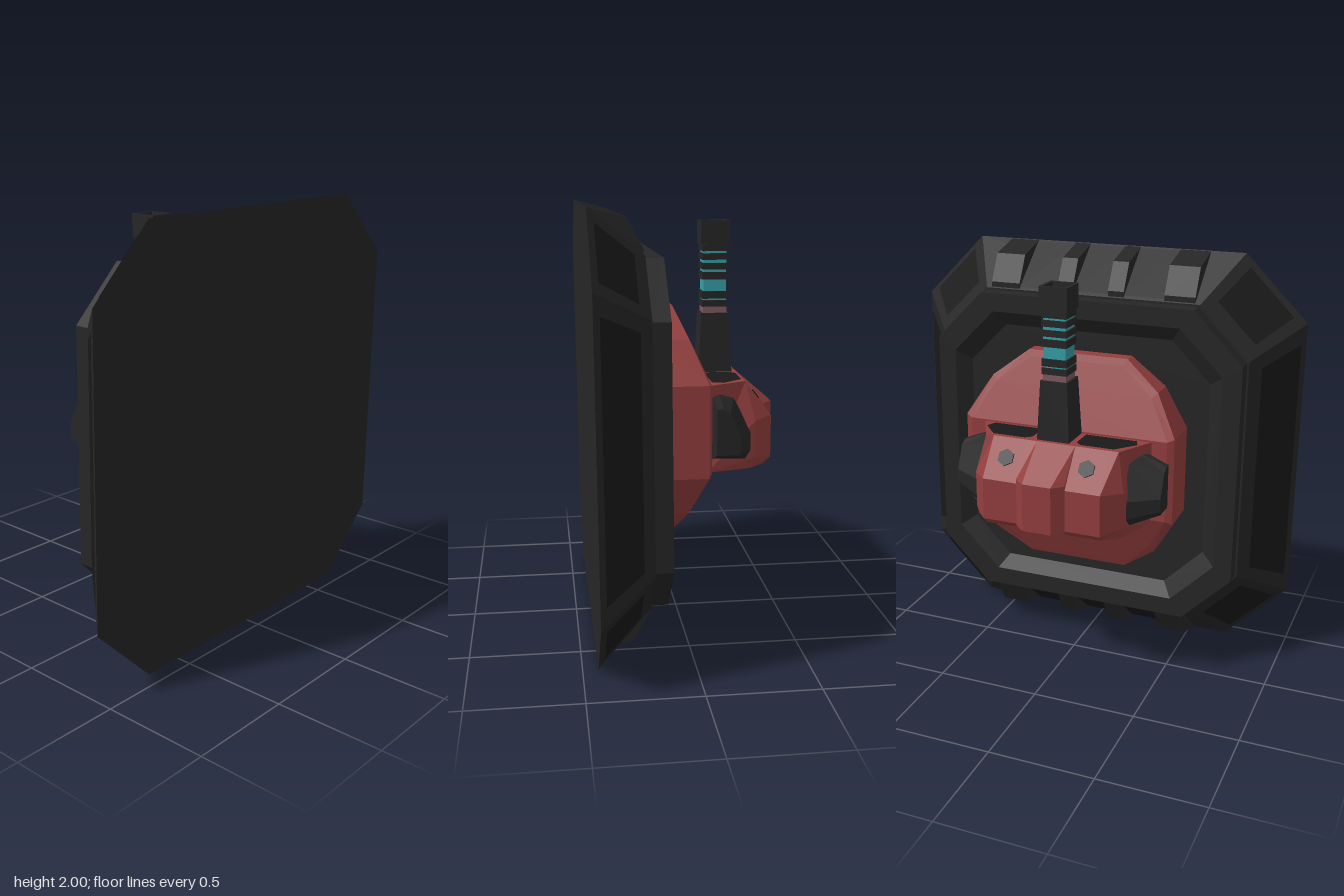
import * as THREE from 'three';

const mat = (name, color, side = THREE.FrontSide) => {
  const m = new THREE.MeshStandardMaterial({ color, side, flatShading: true });
  m.name = name;
  return m;
};
const V = (x, y, z) => new THREE.Vector3(x, y, z);

// Flat-shaded solid from triangles; turned outward by its signed volume.
function solid(tris) {
  let vol = 0;
  const cross = V(0, 0, 0);
  for (const [a, b, c] of tris) vol += a.dot(cross.crossVectors(b, c));
  const pts = tris.flatMap(([a, b, c]) => (vol < 0 ? [a, c, b] : [a, b, c]));
  const g = new THREE.BufferGeometry().setFromPoints(pts);
  g.computeVertexNormals();
  return g;
}

// Joins equal-length loops with quads and closes both ends with fans.
function loft(loops) {
  const tris = [], n = loops[0].length, last = loops[loops.length - 1];
  for (let k = 0; k < loops.length - 1; k++) {
    for (let i = 0; i < n; i++) {
      const j = (i + 1) % n, A = loops[k], B = loops[k + 1];
      tris.push([A[i], A[j], B[j]], [A[i], B[j], B[i]]);
    }
  }
  for (let i = 1; i < n - 1; i++) {
    tris.push([loops[0][0], loops[0][i + 1], loops[0][i]], [last[0], last[i], last[i + 1]]);
  }
  return solid(tris);
}

// Square with cut corners, h = half width, at depth z.
function octagon(h, z) {
  const c = h * 0.69;
  return [[c, h], [-c, h], [-h, c], [-h, -c], [-c, -h], [c, -h], [h, -c], [h, c]]
    .map(([x, y]) => V(x, y, z));
}

// Flat polygon lifted slightly along its outward normal.
function plate(pts, lift = 0.004) {
  const n = V(0, 0, 0).crossVectors(pts[1].clone().sub(pts[0]), pts[2].clone().sub(pts[0])).normalize();
  if (n.dot(pts[0].clone().add(pts[2])) < 0) n.negate();
  const p = pts.map((v) => v.clone().addScaledVector(n, lift));
  const tris = [];
  for (let i = 1; i < p.length - 1; i++) tris.push(...[p[0], p[i], p[i + 1]]);
  const g = new THREE.BufferGeometry().setFromPoints(tris);
  g.computeVertexNormals();
  return g;
}

export function createModel() {
  const black = mat('black armour', 0x262626);
  const dark = mat('dark recess', 0x191919, THREE.DoubleSide);
  const red = mat('red armour', 0x943e3e);
  const cyan = mat('cyan glow', 0x35a0a8);
  const pink = mat('dull pink trim', 0x7d5a60);

  const model = new THREE.Group();
  const add = (parent, name, geometry, material) => {
    const m = new THREE.Mesh(geometry, material);
    m.name = name;
    parent.add(m);
    return m;
  };
  const box = (parent, name, size, pos, material) =>
    add(parent, name, new THREE.BoxGeometry(...size), material).position.set(...pos);

  // Base: bevelled octagonal plate, raised ring and sunken floor
  const base = new THREE.Group();
  base.name = 'base';
  base.position.set(0, 1, -0.01);
  base.rotation.x = 0.01;
  model.add(base);
  const outer = octagon(1, 0.45), inner = octagon(0.79, 0.2);
  add(base, 'basePlate', loft([outer, inner, octagon(0.78, 0.2), octagon(0.78, 0.12),
    octagon(0.69, 0.12), octagon(0.62, 0.17)]), black);

  // Dark panels on the side and corner faces
  for (let i = 0; i < 8; i++) {
    if (i === 0 || i === 4) continue;
    const j = (i + 1) % 8, m = i % 2 ? 0.14 : 0.06;
    const at = (u, v) => outer[i].clone().lerp(outer[j], u).lerp(inner[i].clone().lerp(inner[j], u), v);
    add(base, 'basePanel', plate([at(m, 0.1), at(1 - m, 0.1), at(1 - m, 0.78), at(m, 0.78)]), dark);
  }

  // Ribs and the recesses between them, top and bottom
  for (const s of [1, -1]) {
    for (const [a, b] of [[-0.52, -0.37], [-0.17, -0.09], [0.09, 0.17], [0.37, 0.52]]) {
      const section = (x) => [[0.998, 0.45], [0.95, 0.275], [0.82, 0.205], [0.78, 0.205]]
        .map(([y, z]) => V(x, s * y, z));
      add(base, 'baseRib', loft([section(a), section(b)]), black);
    }
    for (const x of [-0.27, 0, 0.27]) {
      const w = x ? 0.1 : 0.09;
      add(base, 'ribRecess', plate([V(x - w, s * 0.99, 0.438), V(x + w, s * 0.99, 0.438),
        V(x + w, s * 0.8, 0.212), V(x - w, s * 0.8, 0.212)]), dark);
    }
  }

  const turret = new THREE.Group();
  turret.name = 'turret';
  turret.position.y = 1.01;
  model.add(turret);

  // Glowing bearing under the dish
  const bearing = add(turret, 'bearing', new THREE.CylinderGeometry(0.5, 0.5, 0.09, 12), cyan);
  bearing.rotation.x = Math.PI / 2;
  bearing.position.z = 0.14;

  // Dish: rows of width along y, flat in the middle and sloping to both ends
  const rows = [[0.25, 0.53], [0.42, 0.4], [0.53, 0.21], [0.53, -0.21], [0.42, -0.4], [0.25, -0.53]];
  const topZ = (y) => -0.1 + Math.max(0, Math.abs(y) - 0.21) * 0.41;
  const loop = (k, zf) => {
    const r = rows.map(([x, y]) => V(x * k, y * k, zf(y)));
    return [...r, ...r.map((p) => V(-p.x, p.y, p.z)).reverse()];
  };
  const rings = [loop(1, () => 0.11), loop(1, (y) => topZ(y) + 0.015), loop(0.94, topZ)];
  const tris = [];
  for (let k = 0; k < 2; k++) {
    for (let i = 0; i < 12; i++) {
      const j = (i + 1) % 12, A = rings[k], B = rings[k + 1];
      tris.push([A[i], A[j], B[j]], [A[i], B[j], B[i]]);
    }
  }
  for (let i = 0; i < 5; i++) {
    for (const [R, flip] of [[rings[2], false], [rings[0], true]]) {
      const q = [R[i], R[i + 1], R[10 - i], R[11 - i]];
      if (flip) q.reverse();
      tris.push([q[0], q[1], q[2]], [q[0], q[2], q[3]]);
    }
  }
  add(turret, 'dish', solid(tris), red);

  // Head: profile lofted across x, narrowing towards the sides
  const head = new THREE.Group();
  head.name = 'head';
  head.position.y = 1;
  model.add(head);
  const mid = [[-0.09, -0.2], [-0.09, 0.2], [-0.28, 0.2], [-0.41, 0.03], [-0.41, -0.17], [-0.38, -0.2]];
  const end = [[0.43, -0.2, -0.09], [0.43, 0.2, -0.09], [0.33, 0.2, -0.28],
    [0.37, 0.02, -0.32], [0.37, -0.15, -0.32], [0.37, -0.2, -0.3]];
  const midLoop = (x) => mid.map(([z, y]) => V(x, y, z));
  const endLoop = (s) => end.map(([x, y, z]) => V(s * x, y, z));
  add(head, 'headBody', loft([endLoop(-1), midLoop(-0.29), midLoop(0.29), endLoop(1)]), red);

  // Raised centre ridge
  const ridge = (x, k) => [[-0.2, 0.19], [-0.28, 0.2], [-0.41 - k, 0.05], [-0.41 - k, -0.18], [-0.38, -0.2], [-0.2, -0.19]]
    .map(([z, y]) => V(x, y, z));
  add(head, 'headRidge', loft([ridge(-0.12, 0), ridge(-0.07, 0.045), ridge(0.07, 0.045), ridge(0.12, 0)]), red);

  for (const s of [1, -1]) {
    // Dark roof window
    add(head, 'roofWindow', plate([[0.11, -0.12], [0.36, -0.12], [0.38, -0.17], [0.3, -0.265], [0.14, -0.265], [0.11, -0.24]]
      .map(([x, z]) => V(s * Math.min(x, 0.41 + (z + 0.12) * 0.5), 0.2, z))), dark);

    // Angular side pod
    const foot = [[-0.11, 0.17], [-0.15, 0.17], [-0.22, 0.13], [-0.305, -0.03], [-0.305, -0.12], [-0.28, -0.16], [-0.11, -0.16]];
    const face = [[-0.12, 0.11], [-0.15, 0.11], [-0.18, 0.09], [-0.23, -0.02], [-0.23, -0.08], [-0.22, -0.1], [-0.12, -0.1]];
    add(head, 'sidePod', loft([foot.map(([z, y]) => V(s * 0.36, y, z)),
      face.map(([z, y]) => V(s * 0.515, y, z))]), black);

    // Hexagonal port on the sloping face
    const port = add(head, 'port', new THREE.CylinderGeometry(0.042, 0.042, 0.012, 6), dark);
    port.position.set(s * 0.2, 0.122, -0.341);
    port.rotation.x = -Math.atan2(0.17, 0.13) + 0.0;
    port.quaternion.setFromUnitVectors(V(0, 1, 0), V(0, 0.13, -0.17).normalize());
  }

  // Gun barrel pointing up, square in section
  const gun = new THREE.Group();
  gun.name = 'gun';
  gun.position.z = -0.18;
  model.add(gun);
  const square = (h, y) => [V(h, y, h), V(-h, y, h), V(-h, y, -h), V(h, y, -h)];
  add(gun, 'barrelSleeve', loft([square(0.08, 1.19), square(0.066, 1.48)]), black);
  box(gun, 'barrelCore', [0.108, 0.36, 0.108], [0, 1.64, 0], cyan);
  box(gun, 'barrelCollar', [0.112, 0.03, 0.112], [0, 1.495, 0], pink);
  for (const [y, h] of [[1.525, 0.03], [1.565, 0.035], [1.655, 0.035], [1.7, 0.03], [1.745, 0.03], [1.785, 0.03]]) {
    box(gun, 'barrelBand', [0.122, h, 0.122], [0, y, 0], black);
  }

  // Hollow muzzle
  for (const s of [1, -1]) {
    box(gun, 'muzzleSide', [0.014, 0.11, 0.136], [s * 0.061, 1.857, 0], black);
    box(gun, 'muzzleFace', [0.108, 0.11, 0.014], [0, 1.857, s * 0.061], black);
  }
  return model;
}
